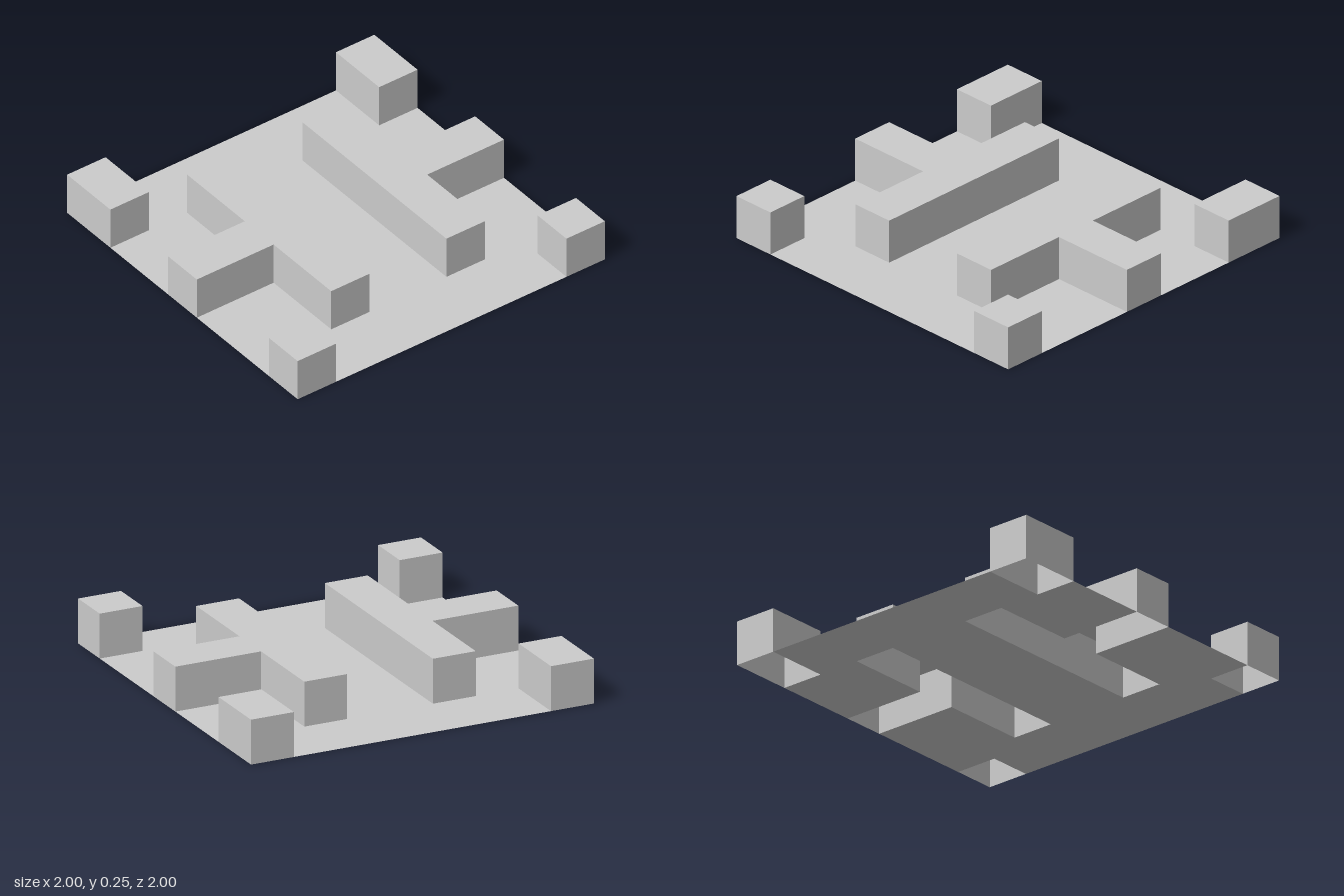
import * as THREE from 'three';
import { mergeGeometries } from 'three/addons/utils/BufferGeometryUtils.js';

const HEIGHT = 0.25;
const material = new THREE.MeshStandardMaterial({
  color: 0xcccccc, flatShading: true, side: THREE.DoubleSide,
});

// Outlines are [x, z] points, counter-clockwise seen from above.
const mirrorX = (points) => points.map(([x, z]) => [-x, z]).reverse();

// Flat, upward-facing sheet at height y
function sheet(points, y) {
  const shape = new THREE.Shape(points.map(([x, z]) => new THREE.Vector2(x, -z)));
  return new THREE.ShapeGeometry(shape).rotateX(-Math.PI / 2).translate(0, y, 0);
}

// Hollow block, open below: a lid plus one wall per outline edge
function block(points) {
  const parts = [sheet(points, HEIGHT)];
  points.forEach(([x, z], i) => {
    const [x2, z2] = points[(i + 1) % points.length];
    const dx = x2 - x, dz = z2 - z;
    const wall = new THREE.PlaneGeometry(Math.hypot(dx, dz), HEIGHT);
    wall.rotateY(Math.atan2(-dz, dx)).translate((x + x2) / 2, HEIGHT / 2, (z + z2) / 2);
    parts.push(wall);
  });
  return mergeGeometries(parts);
}

const rectangle = (x0, x1, z0, z1) => [[x0, z1], [x1, z1], [x1, z0], [x0, z0]];

export function createModel() {
  const group = new THREE.Group();
  const add = (name, geometry) => {
    const mesh = new THREE.Mesh(geometry, material);
    mesh.name = name;
    group.add(mesh);
  };

  // T-shaped wall: long bar with an arm reaching the side edge
  const tee = [
    [0.25, 0.625], [0.5, 0.625], [0.5, 0.125], [1, 0.125],
    [1, -0.125], [0.5, -0.125], [0.5, -0.625], [0.25, -0.625],
  ];
  const outlines = {
    FrontCorner: rectangle(0.75, 1, 0.75, 1),
    BackCorner: rectangle(0.75, 1, -1, -0.625),
    TeeWall: tee,
  };
  for (const [name, points] of Object.entries(outlines)) {
    add('left' + name, block(points));
    add('right' + name, block(mirrorX(points)));
  }

  // Floor sheet, notched where the hollow blocks stand
  const half = [
    [0.75, 1], [0.75, 0.75], [1, 0.75], [1, 0.125], [0.5, 0.125],
    [0.5, 0.625], [0.25, 0.625], [0.25, -0.625], [0.5, -0.625],
    [0.5, -0.125], [1, -0.125], [1, -0.625], [0.75, -0.625], [0.75, -1],
  ];
  add('floor', sheet([...half, ...mirrorX(half)], 0));
  return group;
}
